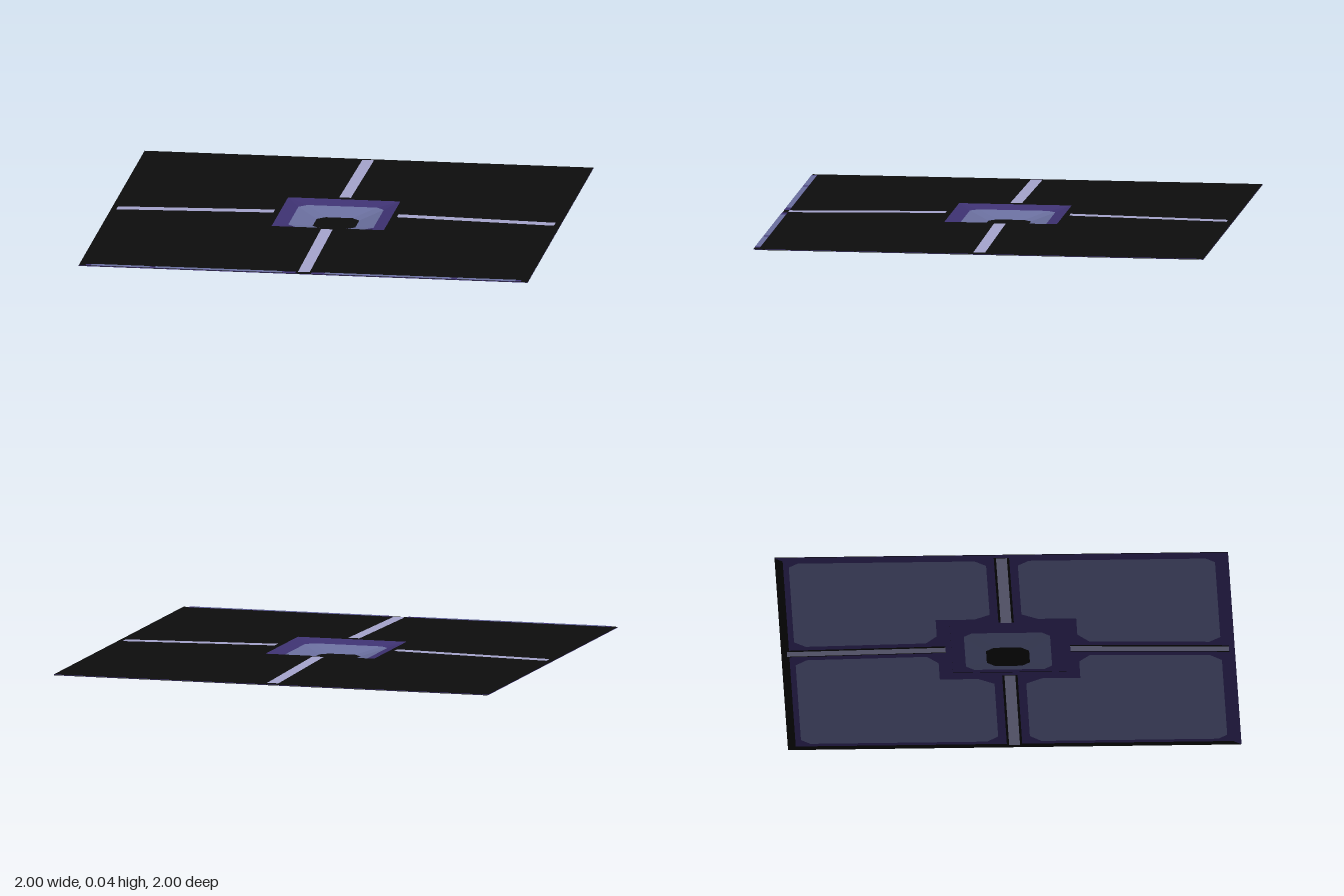
import * as THREE from 'three';

export function createModel() {
  const group = new THREE.Group();
  const mat = (name, color) => {
    const m = new THREE.MeshStandardMaterial({ color, side: THREE.DoubleSide });
    m.name = name;
    return m;
  };
  const black = mat('black sail', 0x0d0d0d);
  const purple = mat('purple trim', 0x3e3272);
  const blue = mat('slate blue panel', 0x6a6f9e);
  const lilac = mat('lilac boom', 0xa5a4cc);

  const HUB = 0.25, RIM = 0.043, EDGE = 0.03;
  // the sail is a very shallow pyramid: height depends on distance u along an arm
  const height = u => RIM - (RIM - EDGE) * (u - HUB) / (1 - HUB);

  function addMesh(name, positions, material) {
    const geo = new THREE.BufferGeometry();
    geo.setAttribute('position', new THREE.Float32BufferAttribute(positions, 3));
    geo.computeVertexNormals();
    const mesh = new THREE.Mesh(geo, material);
    mesh.name = name;
    group.add(mesh);
  }

  // convex outline (u along the arm, v across it), laid on the sail on each chosen side
  // sides: 0 = +x, 1 = +z, 2 = -x, 3 = -z
  function plate(name, outline, material, dy, sides = [0, 1, 2, 3], mirror = false) {
    const pos = [];
    for (const k of sides) for (const m of mirror ? [1, -1] : [1]) {
      const c = Math.round(Math.cos(k * Math.PI / 2)), s = Math.round(Math.sin(k * Math.PI / 2));
      const pts = outline.map(([u, v]) => [u * c - m * v * s, height(u) + dy, u * s + m * v * c]);
      let area = 0;
      pts.forEach((p, i) => {
        const q = pts[(i + 1) % pts.length];
        area += p[0] * q[2] - q[0] * p[2];
      });
      // face up above the sail, down below it
      if ((area > 0) === (dy >= 0)) pts.reverse();
      for (let i = 1; i < pts.length - 1; i++) pos.push(...pts[0], ...pts[i], ...pts[i + 1]);
    }
    addMesh(name, pos, material);
  }
  const rect = (u0, u1, v0, v1) => [[u0, v0], [u0, v1], [u1, v1], [u1, v0]];

  // sail: black top layer and purple underside
  const sail = [[HUB, -HUB], [HUB, HUB], [1, 1], [1, -1]];
  plate('sailTop', sail, black, 0);
  plate('sailUnderside', sail, purple, -0.002);

  // blue panels on the underside, split along the diagonals
  plate('undersidePanels', [[0.31, 0.31], [0.31, 0.14], [0.36, 0.07], [0.89, 0.07],
    [0.94, 0.12], [0.94, 0.9], [0.92, 0.92]], blue, -0.004, [0, 1, 2, 3], true);
  plate('undersideEdge', [[0.965, -0.965], [0.965, 0.965], [1, 1], [1, -1]], black, -0.004, [0, 3]);

  // four booms, seen on both faces
  plate('boomTop', rect(0.275, 0.975, -0.026, 0.026), lilac, 0.002);
  plate('boomSeam', rect(0.275, 0.975, -0.034, 0.034), black, -0.004);
  plate('boomUnderside', rect(0.275, 0.975, -0.024, 0.024), lilac, -0.006);

  // trim strip along the front edge
  for (const m of [-1, 1]) {
    plate('frontTrim', rect(0.975, 1, m * 0.035, m * 0.97), purple, 0.002, [1]);
    plate('frontTrimInner', rect(0.975, 1, m * 0.095, m * 0.66), blue, 0.003, [1]);
    plate('frontTrimOuter', rect(0.975, 1, m * 0.685, m * 0.945), blue, 0.003, [1]);
  }

  // recessed hub: chamfered square rings stepping down to a flat floor
  function ring(h, c, y) {
    const pts = [];
    for (const [a, b] of [[1, 1], [-1, 1], [-1, -1], [1, -1]]) {
      const p = [a * h, y, b * (h - c)], q = [a * (h - c), y, b * h];
      pts.push(...(a * b > 0 ? [p, q] : [q, p]));
    }
    return pts;
  }
  function band(name, outer, inner, material) {
    const pos = [];
    for (let i = 0; i < 8; i++) {
      const j = (i + 1) % 8;
      pos.push(...outer[i], ...inner[i], ...outer[j], ...outer[j], ...inner[i], ...inner[j]);
    }
    addMesh(name, pos, material);
  }
  const rim = ring(HUB, 0.001, RIM);
  const mid = ring(0.19, 0.035, 0.027);
  const low = ring(0.095, 0.035, 0);
  band('hubRim', rim, mid, purple);
  band('hubWall', mid, low, blue);
  band('hubFloor', low, ring(0, 0, 0), black);

  return group;
}
